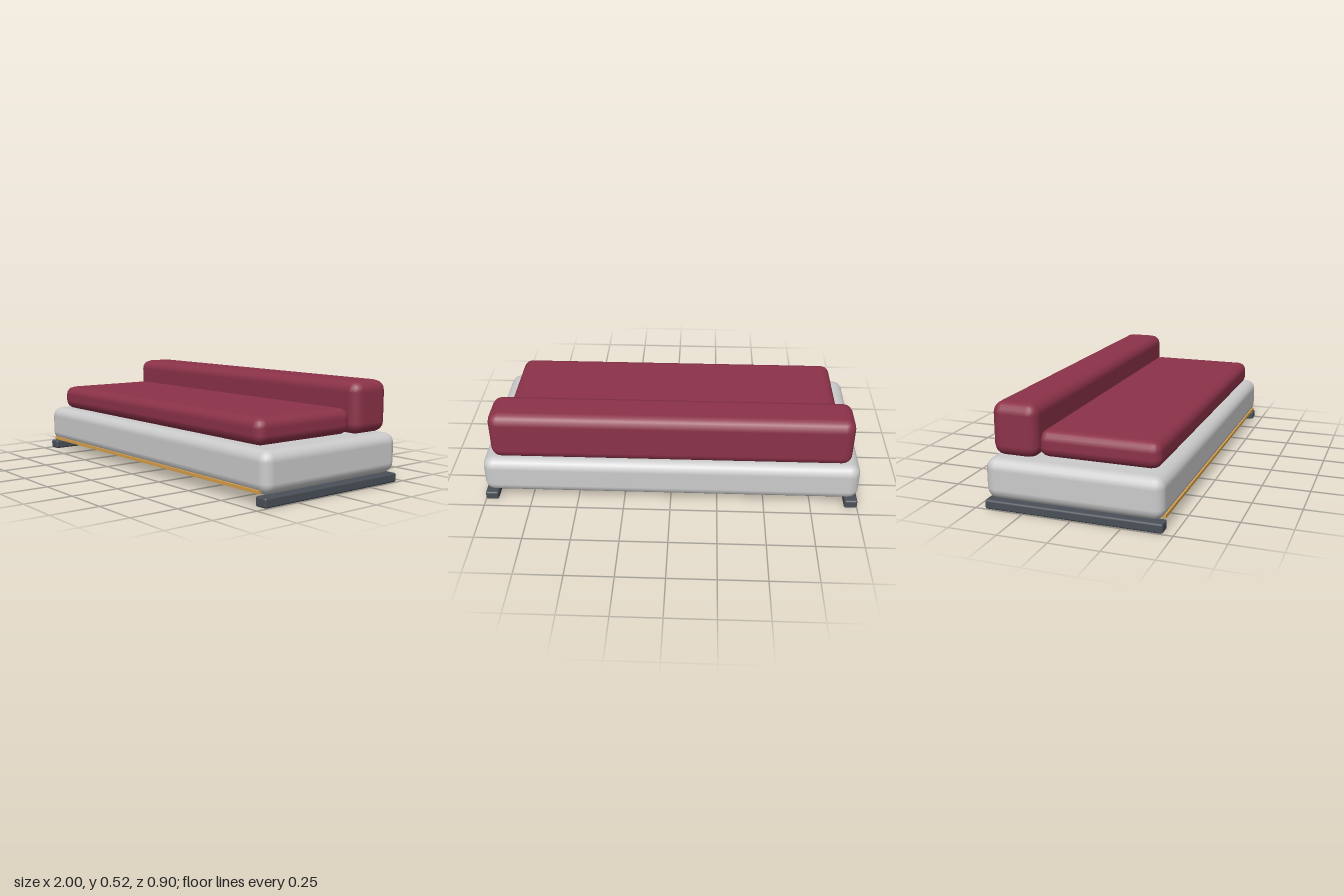
import * as THREE from 'three';
import { RoundedBoxGeometry } from 'three/addons/geometries/RoundedBoxGeometry.js';

const fabric = new THREE.MeshStandardMaterial({ color: 0x8c3249 });
const grey = new THREE.MeshStandardMaterial({ color: 0xcccccc });
const dark = new THREE.MeshStandardMaterial({ color: 0x4a5058 });
const amber = new THREE.MeshStandardMaterial({ color: 0xd9a04a });

// Soft-edged block given by its [min, max] extents
function block(name, [x0, x1], [y0, y1], [z0, z1], radius, material) {
  const geometry = new RoundedBoxGeometry(x1 - x0, y1 - y0, z1 - z0, 2, radius);
  const mesh = new THREE.Mesh(geometry, material);
  mesh.name = name;
  mesh.position.set((x0 + x1) / 2, (y0 + y1) / 2, (z0 + z1) / 2);
  return mesh;
}

export function createModel() {
  const sofa = new THREE.Group();
  sofa.name = 'lowSofa';

  // Upholstered platform
  sofa.add(block('base', [-1, 1], [0.05, 0.257], [-0.45, 0.45], 0.055, grey));

  // Cushions
  sofa.add(block('seatCushion', [-0.905, 0.905], [0.257, 0.39], [-0.21, 0.405], 0.05, fabric));
  sofa.add(block('backCushion', [-0.95, 0.95], [0.257, 0.523], [-0.427, -0.19], 0.055, fabric));

  // Floor runners at both ends
  for (const side of [-1, 1]) {
    const xs = side < 0 ? [-1, -0.93] : [0.93, 1];
    sofa.add(block(side < 0 ? 'rightRunner' : 'leftRunner', xs, [0, 0.048], [-0.45, 0.45], 0.01, dark));
  }

  // Trim along the lower front edge
  const trim = new THREE.Mesh(new THREE.BoxGeometry(1.9, 0.016, 0.02), amber);
  trim.name = 'frontTrim';
  trim.position.set(0, 0.067, 0.44);
  sofa.add(trim);

  return sofa;
}
